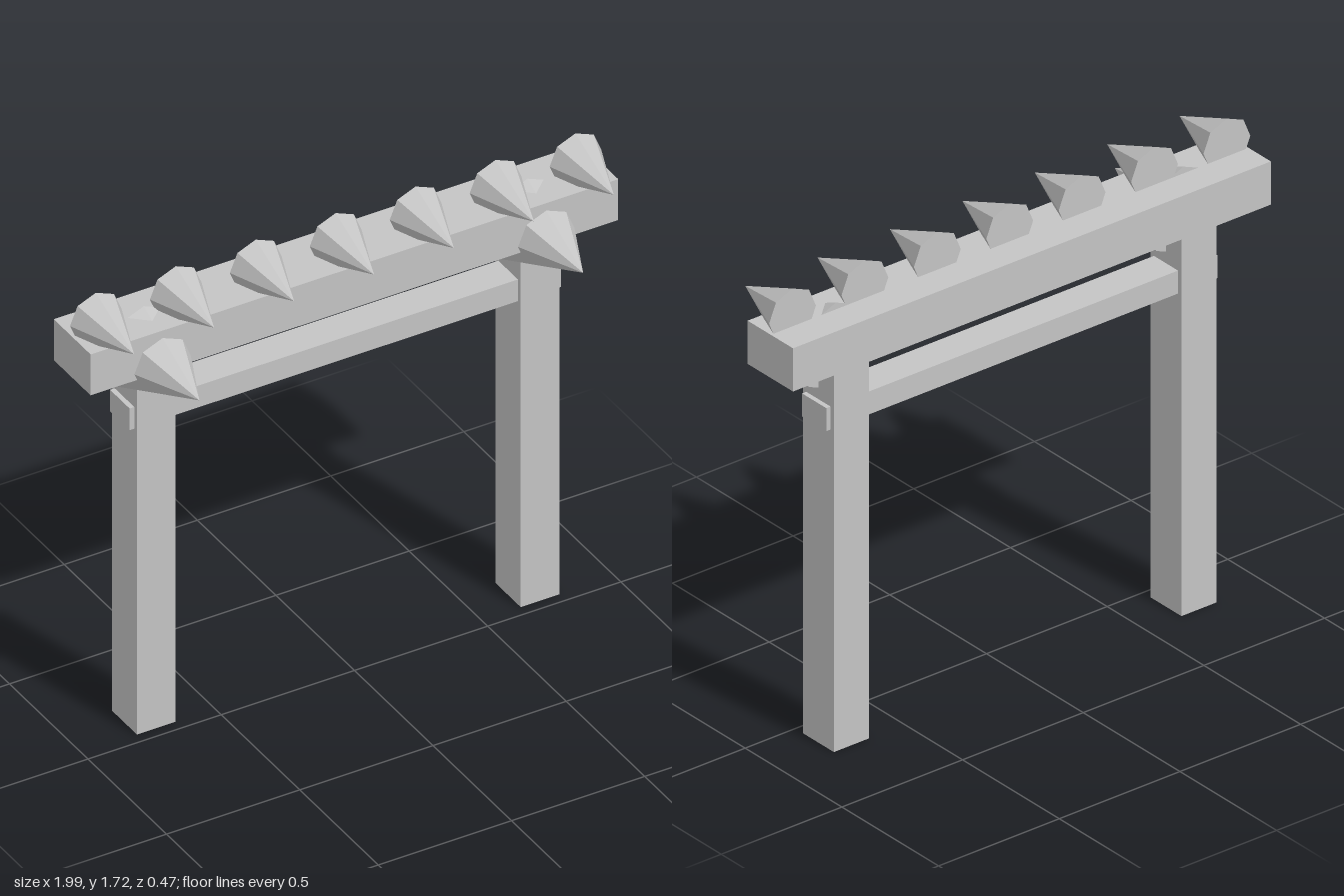
import * as THREE from 'three';

export function createModel() {
  const model = new THREE.Group();
  const stone = new THREE.MeshStandardMaterial({ color: 0xc4c4c4 });
  stone.name = 'plain grey';

  const add = (name, geometry, x, y, z) => {
    const mesh = new THREE.Mesh(geometry, stone);
    mesh.name = name;
    mesh.position.set(x, y, z);
    model.add(mesh);
  };

  // Eight-sided faceted spike with its base at z = 0, pointing forward
  const spike = (radius, length) => {
    const g = new THREE.ConeGeometry(radius, length, 8).toNonIndexed();
    g.translate(0, length / 2, 0);
    g.rotateX(Math.PI / 2);
    g.computeVertexNormals();
    return g;
  };

  // Top beam and the thinner tie rail that pokes through both posts
  add('topBeam', new THREE.BoxGeometry(1.98, 0.16, 0.235), 0, 1.5, -0.1175);
  add('tieRail', new THREE.BoxGeometry(1.62, 0.085, 0.125), 0, 1.23, -0.12);

  // Posts, each with a large spike at its head
  const largeSpike = spike(0.16, 0.355);
  for (const side of [-1, 1]) {
    const label = side > 0 ? 'left' : 'right';
    add(label + 'Post', new THREE.BoxGeometry(0.145, 1.43, 0.16), side * 0.72, 0.715, -0.12);
    add(label + 'LargeSpike', largeSpike, side * 0.72, 1.445, -0.12);
  }

  // Row of small spikes along the beam
  const smallSpike = spike(0.097, 0.245);
  for (let i = -3; i <= 3; i++) add('smallSpike', smallSpike, i * 0.3, 1.623, -0.12);

  return model;
}
